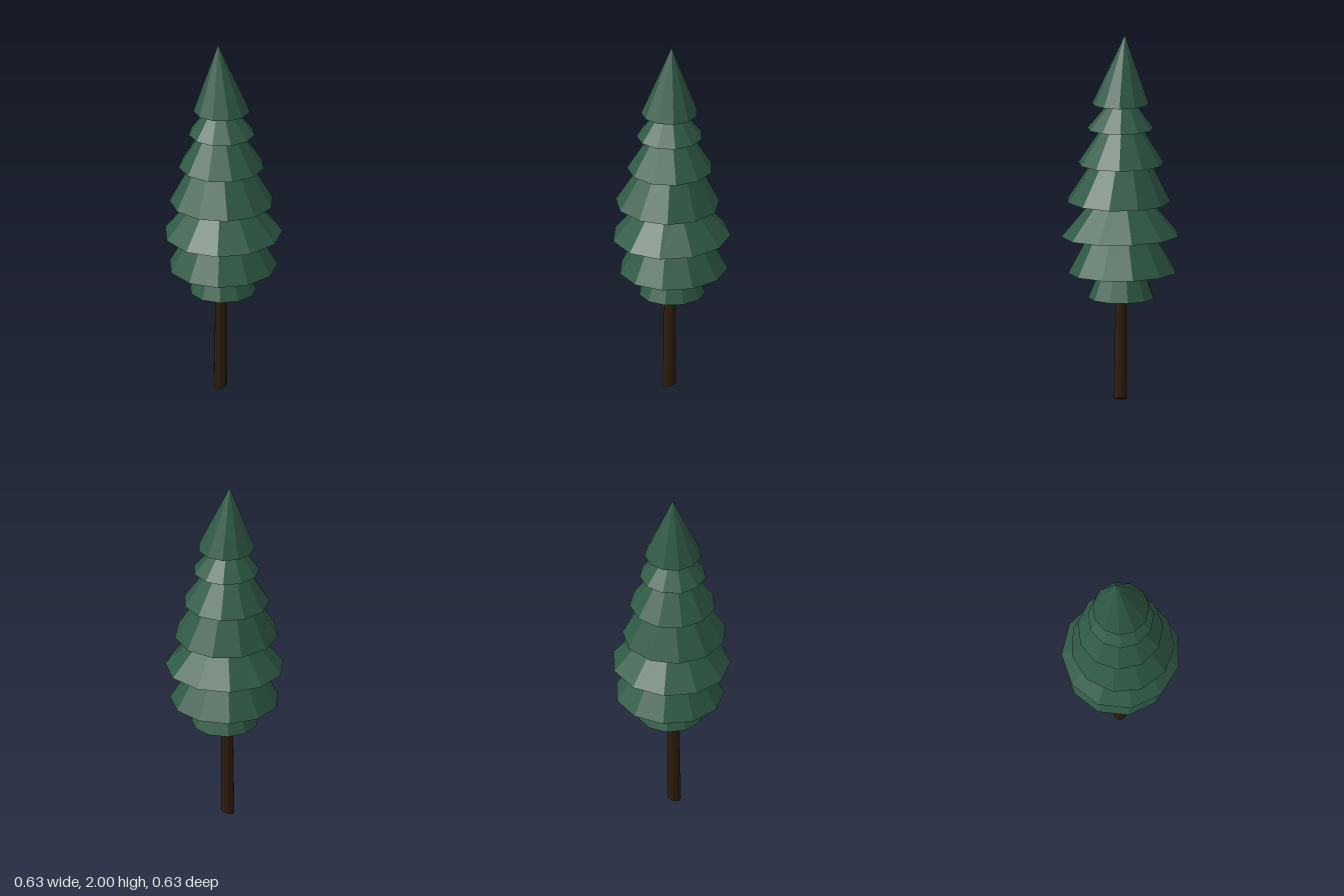
import * as THREE from 'three';

const SIDES = 11;
const needles = new THREE.MeshStandardMaterial({ color: 0x2f5a45, flatShading: true });
const bark = new THREE.MeshStandardMaterial({ color: 0x2e1c0d, flatShading: true });

// Slanted frustum between two rings { x, y, z, r, tiltX, tiltZ }; turn is in degrees from the back (-z).
function frustum(name, bottom, top, turn, material) {
  const geometry = new THREE.CylinderGeometry(top.r, bottom.r, 1, SIDES);
  geometry.rotateY(Math.PI - THREE.MathUtils.degToRad(turn));
  const p = geometry.attributes.position;
  for (let i = 0; i < p.count; i++) {
    const ring = p.getY(i) > 0 ? top : bottom;
    const x = p.getX(i), z = p.getZ(i);
    p.setXYZ(i, x + ring.x, ring.y + x * (ring.tiltX ?? 0) + z * (ring.tiltZ ?? 0), z + ring.z);
  }
  geometry.computeVertexNormals();
  const mesh = new THREE.Mesh(geometry, material);
  mesh.name = name;
  return mesh;
}

// Skirts from the tip down: [base y, base x, base z, base radius, top y, top x, top z, top radius, turn, tilt]
const SKIRTS = [
  [1.625, -0.005, 0.012, 0.153, 2.0, -0.03, 0.003, 0, 13, 0],
  [1.49, -0.005, 0.012, 0.178, 1.66, -0.015, 0.01, 0.045, 11, 0],
  [1.30, -0.007, 0.01, 0.231, 1.53, -0.015, 0.01, 0.083, 13, 0],
  [1.095, 0, 0.023, 0.28, 1.335, -0.013, 0.01, 0.143, 21, 0.018],
  [0.908, 0, 0.003, 0.319, 1.13, -0.004, 0.005, 0.13, 0, -0.025],
  [0.71, -0.005, -0.007, 0.293, 0.94, -0.005, 0, 0.162, 0, -0.02],
  [0.57, -0.003, 0, 0.179, 0.74, -0.005, 0, 0.11, 0, 0],
];

export function createModel() {
  const tree = new THREE.Group();
  tree.name = 'pineTree';

  // Trunk with a slightly crooked foot
  tree.add(frustum('trunk',
    { x: -0.01, y: 0.013, z: 0.017, r: 0.036, tiltX: 0.25, tiltZ: -0.2 },
    { x: -0.01, y: 0.62, z: 0.011, r: 0.031 }, 0, bark));

  // Branch skirts
  const foliage = new THREE.Group();
  foliage.name = 'foliage';
  SKIRTS.forEach(([y, x, z, r, ty, tx, tz, tr, turn, tiltZ], i) => {
    foliage.add(frustum(`branchSkirt${i + 1}`,
      { x, y, z, r, tiltZ }, { x: tx, y: ty, z: tz, r: tr }, turn, needles));
  });
  tree.add(foliage);
  return tree;
}
